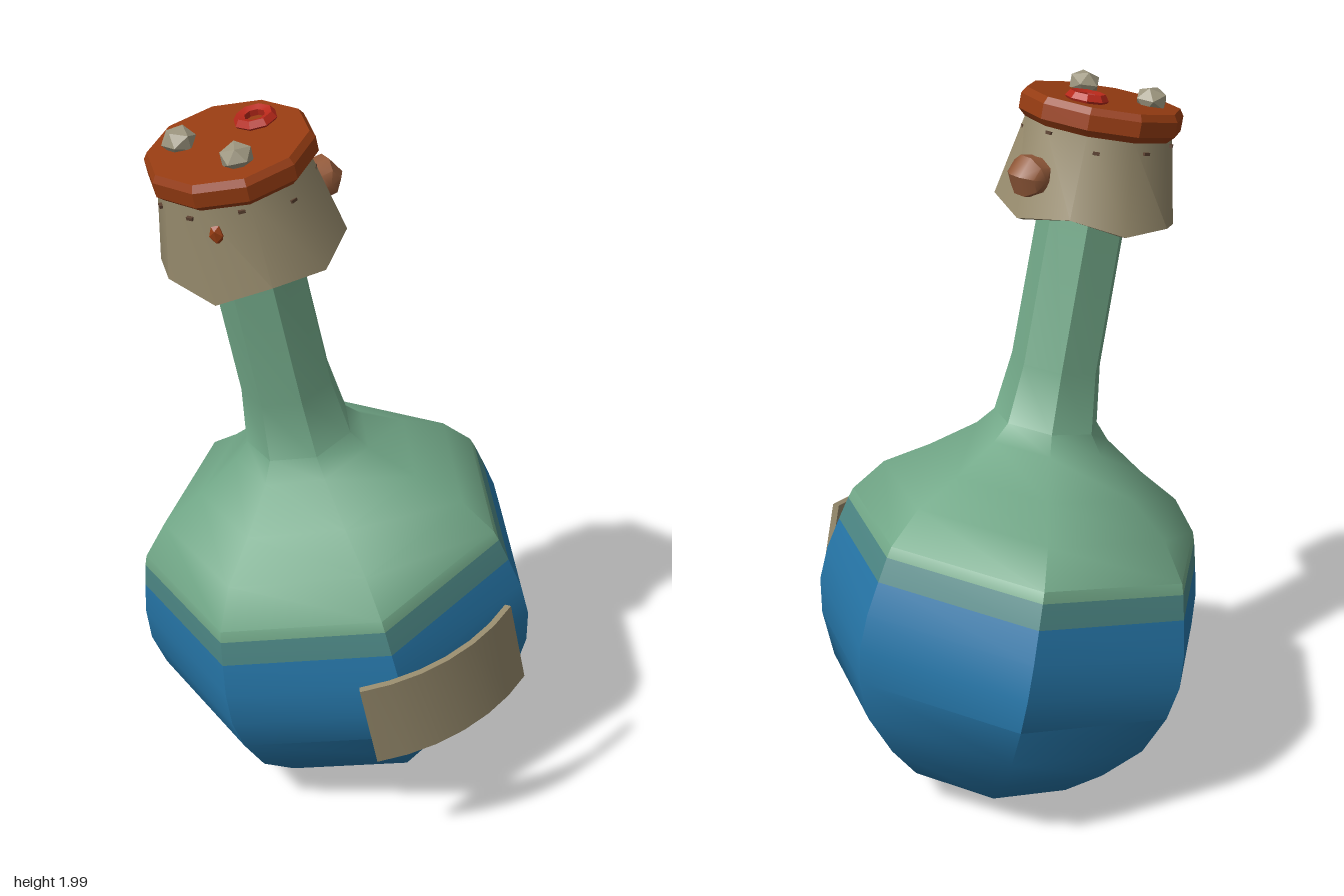
import * as THREE from 'three';
import { toCreasedNormals } from 'three/addons/utils/BufferGeometryUtils.js';

const paint = (name, color) => {
  const m = new THREE.MeshStandardMaterial({ color });
  m.name = name;
  return m;
};

// Lathe with its first corner on +x; profile points are [radius, height]
function turned(profile, sides) {
  return new THREE.LatheGeometry(profile.map(([r, y]) => new THREE.Vector2(r, y)), sides, Math.PI / 2);
}

export function createModel() {
  const glass = paint('green glass', 0x72a888);
  const liquid = paint('blue liquid', 0x2676a8);
  const surface = paint('teal liquid surface', 0x4c8684);
  const tan = paint('tan cork and paper', 0x968a6c);
  const rust = paint('rust wax', 0x963c12);
  const red = paint('red ring', 0xb8281a);
  const brown = paint('brown', 0x935a3a);
  const stone = paint('grey stone', 0x9c957e);
  const dark = paint('dark pits', 0x5a4030);

  const model = new THREE.Group();
  const flask = new THREE.Group();
  flask.name = 'tiltedFlask';
  flask.position.set(0.093, 0.06, -0.037);
  flask.rotation.z = 0.22;
  model.add(flask);

  const add = (name, geometry, material, x = 0, y = 0, z = 0) => {
    const mesh = new THREE.Mesh(geometry, material);
    mesh.name = name;
    mesh.position.set(x, y, z);
    flask.add(mesh);
    return mesh;
  };

  // Seven-sided bottle, coloured in bands by height
  const profile = [
    [0, 0.05], [0.19, 0.045], [0.25, 0.0], [0.274, 0.0], [0.38, 0.09], [0.487, 0.21],
    [0.54, 0.33], [0.56, 0.43], [0.553, 0.53], [0.532, 0.622], [0.515, 0.69], [0.505, 0.72],
    [0.43, 0.817], [0.309, 0.894], [0.19, 0.983], [0.148, 1.033], [0.126, 1.2], [0.122, 1.7],
  ];
  const sides = 7, rows = profile.length - 1;
  const bottle = toCreasedNormals(turned(profile, sides), 0.84);
  bottle.clearGroups();
  const bands = [[0, 9, 0], [9, 10, 1], [10, rows, 2]];
  for (let i = 0; i < sides; i++) {
    for (const [from, to, m] of bands) bottle.addGroup((i * rows + from) * 6, (to - from) * 6, m);
  }
  add('bottle', bottle, [liquid, surface, glass]);

  // Curved paper label standing off the front
  const arc = (radius, t) => new THREE.Vector2(Math.sin(t) * radius, Math.cos(t) * radius);
  const outer = [], inner = [];
  for (let i = 0; i <= 6; i++) {
    const t = -0.49 + (0.98 * i) / 6;
    outer.push(arc(0.515, t));
    inner.unshift(arc(0.497, t));
  }
  const paper = new THREE.ExtrudeGeometry(new THREE.Shape([...outer, ...inner]), { depth: 0.256, bevelEnabled: false });
  paper.rotateX(Math.PI / 2);
  add('label', toCreasedNormals(paper, 0.5), tan, -0.005, 0.601, 0.102);

  // Flared cork with an uneven lower edge
  const corkProfile = [[0.19, 1.67], [0.222, 1.62], [0.247, 1.625], [0.2, 1.855]];
  const cork = turned(corkProfile, 10);
  const drop = [-0.015, 0.015, -0.01, 0.01, -0.005, 0.02, -0.02, 0.01, -0.01, 0.015];
  const p = cork.attributes.position;
  for (let k = 0; k < p.count; k++) {
    const row = k % corkProfile.length;
    const side = Math.floor(k / corkProfile.length) % 10;
    if (row === 1 || row === 2) p.setY(k, p.getY(k) + drop[side]);
  }
  add('cork', toCreasedNormals(cork, 0.65), tan);
  add('corkUnderside', toCreasedNormals(turned([[0.11, 1.68], [0.165, 1.655], [0.2, 1.67]], 10), 0.6), brown);

  // Small pits around the cork
  for (let i = 0; i < 9; i++) {
    const a = i * 0.7 + 0.25, y = 1.815 + 0.012 * (i % 3);
    const r = 0.2 + (1.855 - y) * 0.2 - 0.005;
    const pit = add('corkPit', new THREE.BoxGeometry(0.018, 0.008, 0.009), dark, Math.sin(a) * r, y, Math.cos(a) * r);
    pit.rotation.y = a;
  }

  // Brown knob on one side and a wax spot on the front
  const knob = add('knob', toCreasedNormals(new THREE.SphereGeometry(0.062, 6, 5), 0.8), brown, 0.222, 1.722, 0);
  knob.rotation.x = Math.PI / 2;
  const spot = add('waxSpot', new THREE.IcosahedronGeometry(0.03, 0), rust, -0.146, 1.785, 0.14);
  spot.scale.set(0.7, 1, 0.5);
  spot.rotation.y = -0.8;

  // Ten-sided wax cap
  const cap = turned([[0, 1.85], [0.2, 1.853], [0.22, 1.872], [0.22, 1.912], [0.208, 1.93], [0, 1.93]], 10);
  add('waxCap', toCreasedNormals(cap, 0.5), rust);

  // Stones and ring resting on the cap
  for (const [x, z, turn] of [[-0.093, -0.083, 0.3], [-0.033, 0.112, 1.1]]) {
    const pebble = add('stone', new THREE.IcosahedronGeometry(0.046, 0), stone, x, 1.945, z);
    pebble.scale.y = 0.8;
    pebble.rotation.y = turn;
  }
  const ring = new THREE.TorusGeometry(0.041, 0.017, 5, 8).rotateX(Math.PI / 2);
  add('ring', toCreasedNormals(ring, 0.6), red, 0.104, 1.936, -0.038);

  return model;
}
